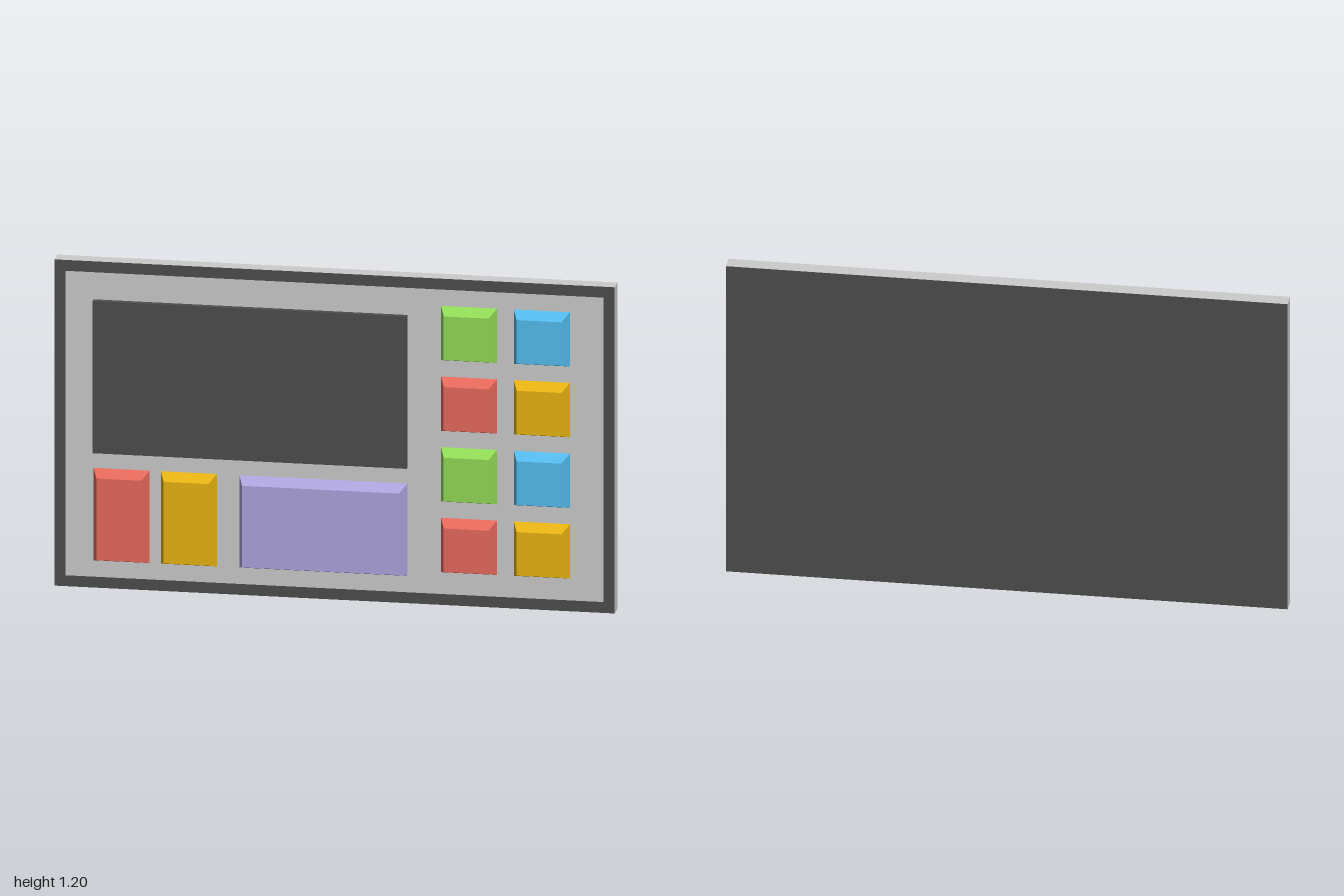
import * as THREE from 'three';

const material = (color) => new THREE.MeshStandardMaterial({ color, flatShading: true });
const GREY = material(0xcccccc), DARK = material(0x4d4d4d);
const RED = material(0xe76a5d), YELLOW = material(0xe8b411), GREEN = material(0x92db57);
const BLUE = material(0x54bced), PURPLE = material(0xaea5df);

// Block spanning x0..x1, y0..y1, z0..z1, with its front face shrunk by inset
function block(name, mat, x0, x1, y0, y1, z0, z1, inset = 0) {
  const geometry = new THREE.BoxGeometry(x1 - x0, y1 - y0, z1 - z0);
  const p = geometry.attributes.position;
  for (let i = 0; i < p.count; i++) {
    if (p.getZ(i) > 0) {
      p.setX(i, p.getX(i) - Math.sign(p.getX(i)) * inset);
      p.setY(i, p.getY(i) - Math.sign(p.getY(i)) * inset);
    }
  }
  geometry.computeVertexNormals();
  const mesh = new THREE.Mesh(geometry, mat);
  mesh.name = name;
  mesh.position.set((x0 + x1) / 2, (y0 + y1) / 2, (z0 + z1) / 2);
  return mesh;
}

function rectangle(PathType, x0, x1, y0, y1) {
  return new PathType([[x0, y0], [x1, y0], [x1, y1], [x0, y1]].map(([x, y]) => new THREE.Vector2(x, y)));
}

export function createModel() {
  const model = new THREE.Group();
  model.name = 'controlPanel';

  // Slab, its dark border on the front and dark sheet on the back
  model.add(block('casing', GREY, -1, 1, 0, 1.2, -0.059, -0.001));
  const borderShape = rectangle(THREE.Shape, -1, 1, 0, 1.2);
  borderShape.holes.push(rectangle(THREE.Path, -0.96, 0.96, 0.04, 1.16));
  const border = new THREE.Mesh(new THREE.ShapeGeometry(borderShape), DARK);
  border.name = 'frontBorder';
  model.add(border);
  const back = new THREE.Mesh(new THREE.PlaneGeometry(2, 1.2), DARK);
  back.name = 'backSheet';
  back.position.set(0, 0.6, -0.06);
  back.rotation.y = Math.PI;
  model.add(back);

  // Display
  model.add(block('screen', DARK, -0.86, 0.26, 0.5, 1.06, -0.001, 0.02));

  // Bevelled keys
  const addKey = (name, mat, x, y, w, h) =>
    model.add(block(name, mat, x, x + w, y, y + h, -0.001, 0.06, 0.02));

  // Large keys below the screen
  addKey('tallKeyRed', RED, -0.86, 0.1, 0.2, 0.34);
  addKey('tallKeyYellow', YELLOW, -0.62, 0.1, 0.2, 0.34);
  addKey('wideKey', PURPLE, -0.34, 0.1, 0.6, 0.34);

  // Keypad of two columns and four rows
  for (let row = 0; row < 4; row++) {
    const pair = row % 2 ? [GREEN, BLUE] : [RED, YELLOW];
    pair.forEach((mat, col) =>
      addKey(`keypadKey${row * 2 + col + 1}`, mat, 0.38 + col * 0.26, 0.12 + row * 0.26, 0.2, 0.2));
  }
  return model;
}
